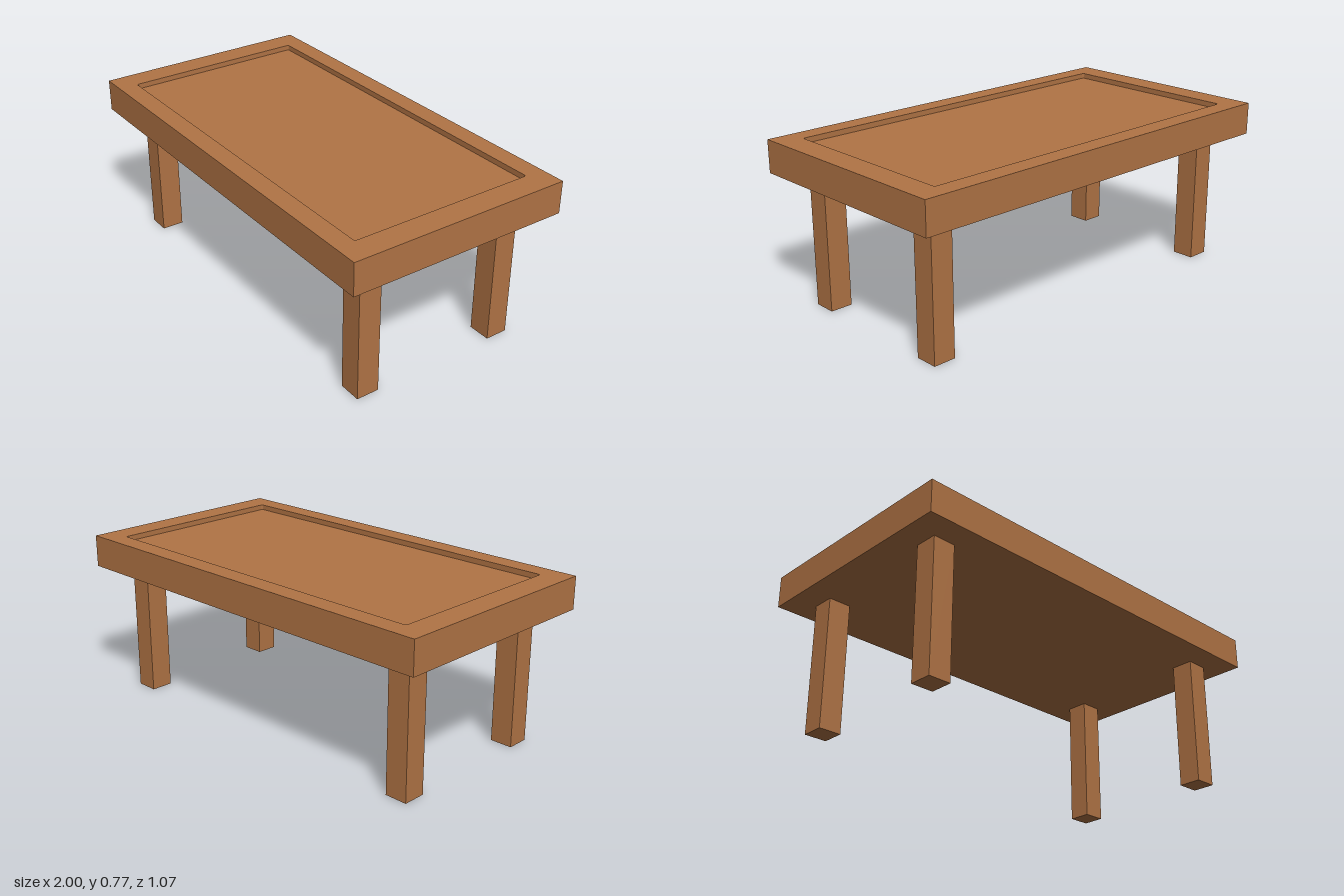
import * as THREE from 'three';

const HALF_X = 1, HALF_Z = 0.534;      // table top outline
const TOP_Y = 0.774, UNDER_Y = 0.622;  // table top heights
const RECESS = 0.025;                  // depth of the sunken panel

// Rounded rectangle centred on the origin
function roundedRect(path, hx, hy, r) {
  path.moveTo(-hx + r, -hy);
  path.lineTo(hx - r, -hy);
  path.quadraticCurveTo(hx, -hy, hx, -hy + r);
  path.lineTo(hx, hy - r);
  path.quadraticCurveTo(hx, hy, hx - r, hy);
  path.lineTo(-hx + r, hy);
  path.quadraticCurveTo(-hx, hy, -hx, hy - r);
  path.lineTo(-hx, -hy + r);
  path.quadraticCurveTo(-hx, -hy, -hx + r, -hy);
  return path;
}

export function createModel() {
  const table = new THREE.Group();
  table.name = 'table';
  const wood = new THREE.MeshStandardMaterial({ color: 0xb17445 });
  wood.name = 'warm brown wood';

  const add = (name, geometry, x, y, z) => {
    const mesh = new THREE.Mesh(geometry, wood);
    mesh.name = name;
    mesh.position.set(x, y, z);
    table.add(mesh);
  };

  // Slab whose upper face is the floor of the recess
  const slabH = TOP_Y - RECESS - UNDER_Y;
  add('tabletopSlab', new THREE.BoxGeometry(HALF_X * 2, slabH, HALF_Z * 2), 0, UNDER_Y + slabH / 2, 0);

  // Raised border around the sunken panel
  const outline = new THREE.Shape([
    new THREE.Vector2(-HALF_X, -HALF_Z), new THREE.Vector2(HALF_X, -HALF_Z),
    new THREE.Vector2(HALF_X, HALF_Z), new THREE.Vector2(-HALF_X, HALF_Z),
  ]);
  outline.holes.push(roundedRect(new THREE.Path(), 0.88, 0.442, 0.01));
  const rim = new THREE.ExtrudeGeometry(outline, { depth: RECESS, bevelEnabled: false, curveSegments: 4 });
  rim.rotateX(-Math.PI / 2);
  add('tabletopRim', rim, 0, TOP_Y - RECESS, 0);

  // Four square legs
  const leg = new THREE.BoxGeometry(0.107, UNDER_Y, 0.107);
  for (const [side, x] of [['Left', 0.826], ['Right', -0.826]]) {
    add(`front${side}Leg`, leg, x, UNDER_Y / 2, 0.358);
    add(`back${side}Leg`, leg, x, UNDER_Y / 2, -0.358);
  }
  return table;
}
